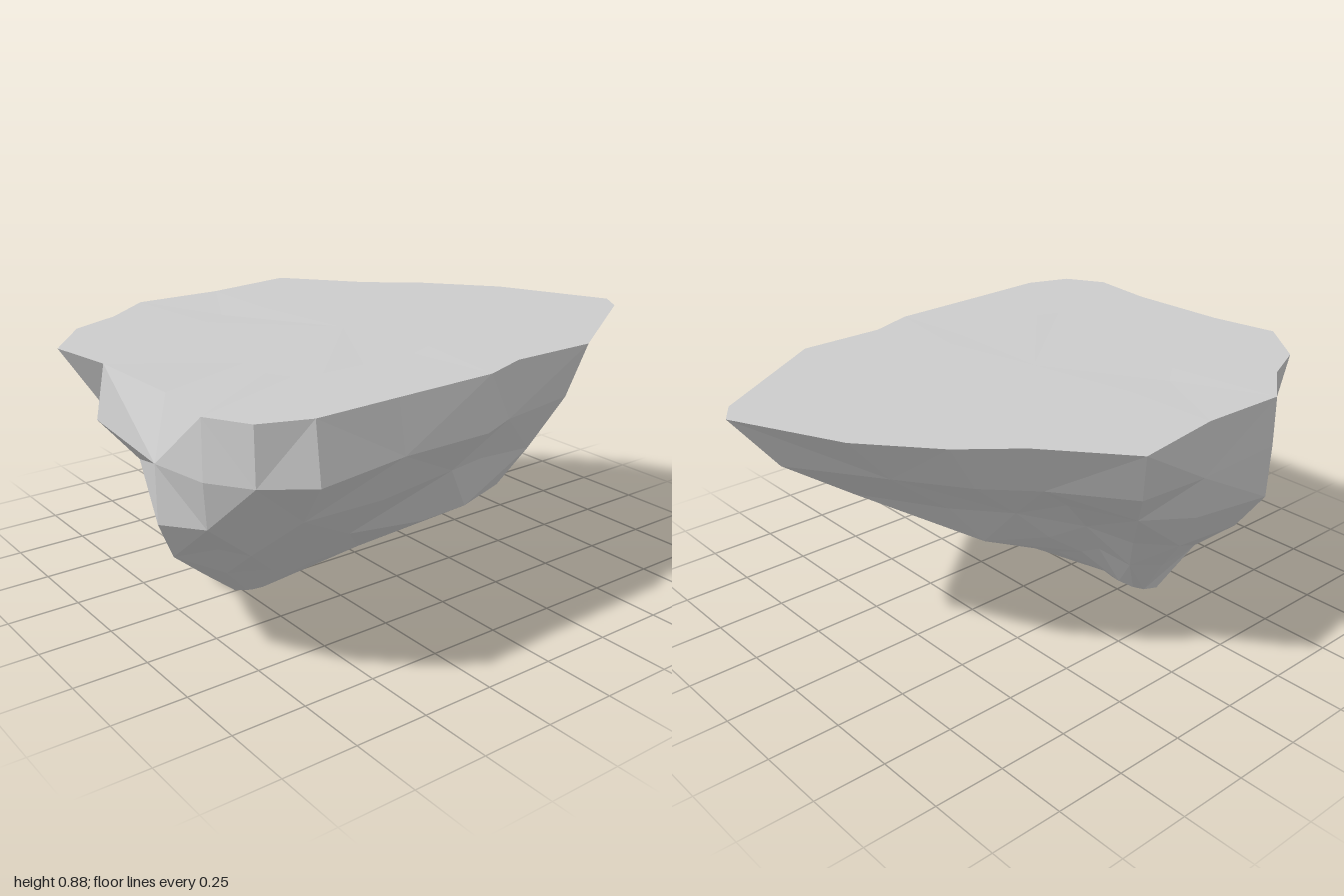
import * as THREE from 'three';

// Rim outline seen from above, as [x, z], running from the pointed tip round the front
const RIM = [
  [1, 0.27], [0.94, 0.36], [0.46, 0.67], [0.14, 0.67], [-0.03, 0.73], [-0.4, 0.74], [-0.7, 0.75],
  [-0.86, 0.69], [-0.94, 0.55], [-0.91, 0.3], [-0.92, -0.08], [-0.96, -0.33], [-0.8, -0.53], [-0.62, -0.61],
  [-0.44, -0.75], [-0.12, -0.74], [0.22, -0.79], [0.44, -0.52], [0.62, -0.37], [0.82, -0.13],
];
const FOOT = [-0.42, -0.12];

// Each level: height and, per rim point, how far out from the foot the wall stands
const LEVELS = [
  [0.69, [.9, .9, .94, .98, 1, 1.04, 1.04, 1.01, 1.02, 1.18, 1.07, .77, .94, .96, 1, .98, .9, .88, .88, .88]],
  [0.52, [.73, .74, .85, .88, .87, .92, .86, .85, .97, 1.18, .79, .59, .69, .8, .99, .92, .73, .66, .68, .7]],
  [0.36, [.54, .58, .76, .84, .75, .73, .65, .65, .72, 1.02, .65, .48, .54, .64, .8, .75, .53, .47, .5, .57]],
  [0.2, [.32, .33, .4, .49, .5, .48, .45, .45, .5, .62, .48, .38, .41, .46, .53, .54, .38, .31, .29, .3]],
];

function seeded(seed) {
  return () => {
    seed = (seed * 16807) % 2147483647;
    return seed / 2147483647 - 0.5;
  };
}

function flatMesh(name, positions) {
  const geometry = new THREE.BufferGeometry();
  geometry.setAttribute('position', new THREE.Float32BufferAttribute(positions, 3));
  geometry.computeVertexNormals();
  const mesh = new THREE.Mesh(geometry, new THREE.MeshStandardMaterial({ color: 0xcccccc, flatShading: true }));
  mesh.name = name;
  return mesh;
}

export function createModel() {
  const rand = seeded(71);
  const n = RIM.length;
  const rim = RIM.map(([x, z]) => [x, 0.877, z]);

  // Wall rings with a little unevenness so the facets look chipped
  const rings = [rim];
  for (const [y, reach] of LEVELS) {
    rings.push(RIM.map(([x, z], i) => {
      const f = reach[i] + rand() * 0.015;
      return [FOOT[0] + (x - FOOT[0]) * f, y + rand() * 0.04, FOOT[1] + (z - FOOT[1]) * f];
    }));
  }

  // Small blunt foot, skewed, and slightly lifted towards the front
  rings.push(RIM.map(([x, z]) => {
    const a = Math.atan2(z - FOOT[1], x - FOOT[0]);
    const dz = 0.22 * Math.sin(a);
    const fz = FOOT[1] + dz;
    return [FOOT[0] + 0.11 * Math.cos(a) - 0.25 * dz, Math.max(0, 0.01 + fz * 0.3), fz];
  }));

  // Rock sides, with the facet diagonals alternating
  const sides = [];
  for (let r = 0; r < rings.length - 1; r++) {
    for (let i = 0; i < n; i++) {
      const j = (i + 1) % n;
      const a = rings[r][i], b = rings[r][j], c = rings[r + 1][i], d = rings[r + 1][j];
      const quad = (i + r) % 2 ? [a, b, c, b, d, c] : [a, b, d, a, d, c];
      sides.push(...quad.flat());
    }
  }

  // Nearly flat top: an inner ring with faint bumps, then a centre fan
  const top = [];
  const inner = rim.map(([x, , z]) => [x * 0.55 - 0.05, 0.875 + rand() * 0.005, z * 0.55]);
  const centre = [-0.05, 0.875, 0];
  const base = rings[rings.length - 1];
  const bottom = [];
  for (let i = 0; i < n; i++) {
    const j = (i + 1) % n;
    top.push(...[rim[i], inner[i], rim[j], rim[j], inner[i], inner[j], centre, inner[j], inner[i]].flat());
    bottom.push(...[[FOOT[0], 0, FOOT[1]], base[i], base[j]].flat());
  }

  const group = new THREE.Group();
  group.name = 'floatingRock';
  group.add(flatMesh('rockSides', sides), flatMesh('flatTop', top), flatMesh('foot', bottom));
  return group;
}
